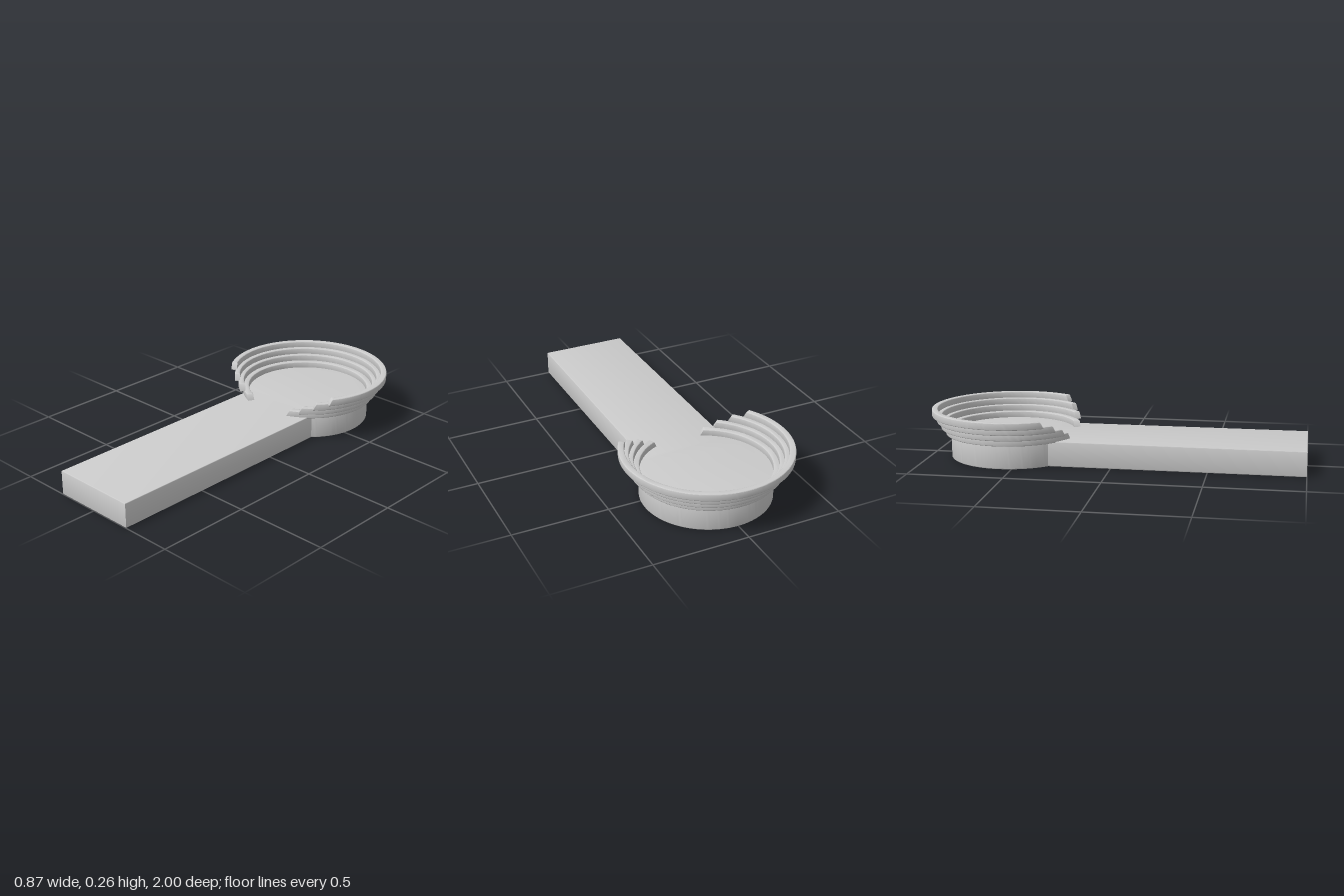
import * as THREE from 'three';
import { toCreasedNormals } from 'three/addons/utils/BufferGeometryUtils.js';

const material = new THREE.MeshStandardMaterial({ color: 0xcccccc });
const CENTER_Z = -0.565; // centre of the round end
const BASE_H = 0.132;
const TIER_H = 0.033;
const SINK = 0.005; // each tier sits slightly into the one below
const BEVEL = 0.004;

// Extrude a plan outline upward with small rounded edges; bottom at y = 0
function extrudeUp(shape, height) {
  const g = new THREE.ExtrudeGeometry(shape, {
    depth: height - 2 * BEVEL,
    bevelEnabled: true,
    bevelSize: BEVEL,
    bevelThickness: BEVEL,
    bevelOffset: -BEVEL,
    bevelSegments: 3,
    curveSegments: 72,
  });
  g.translate(0, 0, BEVEL);
  g.rotateX(-Math.PI / 2);
  return g;
}

// Flat base: round disc running into a long straight slab that ends at z = 1
function makeBase() {
  const r = 0.335, w = 0.235;
  const a = Math.asin(w / r);
  const front = CENTER_Z - 1;
  const s = new THREE.Shape();
  s.moveTo(-w, front);
  s.lineTo(w, front);
  s.absarc(0, 0, r, -Math.PI / 2 + a, 1.5 * Math.PI - a, false);
  s.closePath();
  const mesh = new THREE.Mesh(toCreasedNormals(extrudeUp(s, BASE_H), 0.7), material);
  mesh.name = 'base';
  return mesh;
}

// One open ring; gap is the half angle of the opening at the front
function makeTier(inner, outer, gap) {
  const a0 = -Math.PI / 2 + gap, a1 = 1.5 * Math.PI - gap;
  const s = new THREE.Shape();
  s.absarc(0, 0, outer, a0, a1, false);
  s.absarc(0, 0, inner, a1, a0, true);
  s.closePath();
  const g = extrudeUp(s, TIER_H + SINK);
  // Lean the two ends back: the arc shortens toward the top
  const p = g.attributes.position;
  const slant = THREE.MathUtils.degToRad(3.5) / Math.PI;
  for (let i = 0; i < p.count; i++) {
    const x = p.getX(i), z = p.getZ(i);
    const r = Math.hypot(x, z);
    const a = Math.atan2(x, -z) * (1 - slant * (p.getY(i) / TIER_H - 0.5));
    p.setX(i, r * Math.sin(a));
    p.setZ(i, -r * Math.cos(a));
  }
  return new THREE.Mesh(toCreasedNormals(g, 0.7), material);
}

export function createModel() {
  const model = new THREE.Group();
  model.name = 'steppedArena';

  const base = makeBase();
  base.position.z = CENTER_Z;
  model.add(base);

  // Stepped tiers, each wider and more open than the one below
  const tiers = new THREE.Group();
  tiers.name = 'tiers';
  const radii = [[0.33, 0.364], [0.358, 0.389], [0.381, 0.41], [0.404, 0.435]];
  radii.forEach(([inner, outer], i) => {
    const tier = makeTier(inner, outer, THREE.MathUtils.degToRad(23.5 + 11 * i));
    tier.name = `tier${i + 1}`;
    tier.position.set(0, BASE_H + i * TIER_H - SINK, CENTER_Z);
    tiers.add(tier);
  });
  model.add(tiers);

  return model;
}
